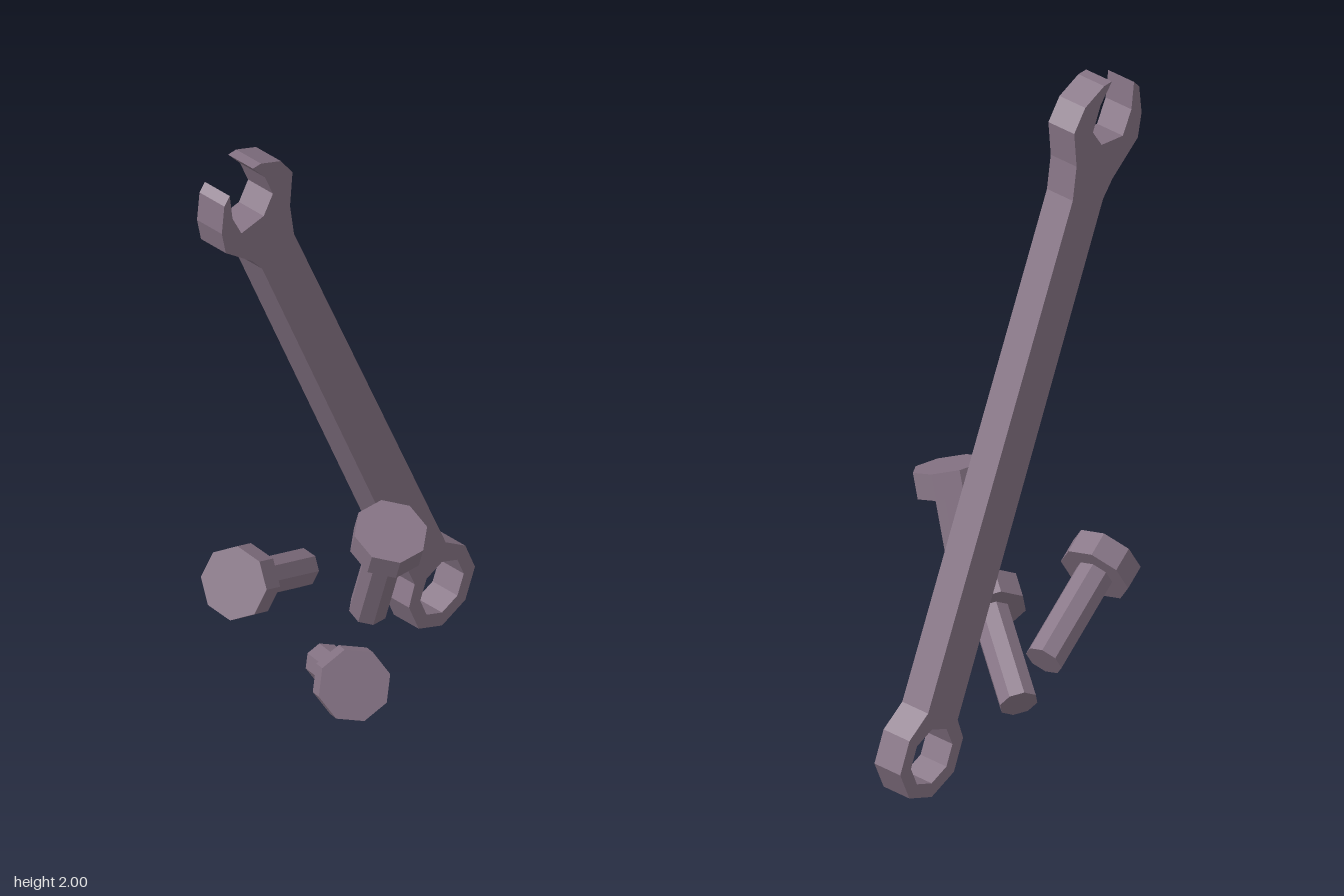
import * as THREE from 'three';

const steel = new THREE.MeshStandardMaterial({ color: 0x867485, flatShading: true });
steel.name = 'dull mauve steel';

// Spanner: flat outline drawn in (z, y), extruded across x
function createSpanner() {
  const ring = { z: -0.375, y: 0.138, outer: 0.133, inner: 0.088 };
  const ringPoint = (r, i) => new THREE.Vector2(
    ring.z + r * Math.cos(i * Math.PI / 4), ring.y + r * Math.sin(i * Math.PI / 4));

  const jaw = [
    [-0.39, 0.286], [0.222, 1.685], [0.238, 1.79], [0.228, 1.902], [0.275, 1.966],
    [0.355, 2.0], [0.388, 2.0], [0.34, 1.945], [0.307, 1.87], [0.344, 1.812],
    [0.434, 1.80], [0.47, 1.87], [0.481, 1.955], [0.503, 1.93], [0.513, 1.84],
    [0.497, 1.765], [0.39, 1.68], [0.35, 1.632], [-0.265, 0.207],
  ].map(([z, y]) => new THREE.Vector2(z, y));

  // Lower half of the ring end, from its front side round to its back
  const outline = [...jaw];
  for (let i = 0; i >= -5; i--) outline.push(ringPoint(ring.outer, i));

  const shape = new THREE.Shape(outline);
  const hole = [];
  for (let i = 0; i < 8; i++) hole.push(ringPoint(ring.inner, i));
  shape.holes.push(new THREE.Path(hole));

  const geometry = new THREE.ExtrudeGeometry(shape, { depth: 0.096, bevelEnabled: false });
  const spanner = new THREE.Mesh(geometry, steel);
  spanner.name = 'spanner';
  spanner.rotation.y = -Math.PI / 2;
  spanner.position.x = -0.064;
  return spanner;
}

// Bolt: eight-sided shank and head, running from the tail to the head's face
function createBolt(name, tail, face, roll) {
  const headHeight = 0.077;
  const from = new THREE.Vector3(...tail);
  const axis = new THREE.Vector3(...face).sub(from);
  const length = axis.length();
  const shankLength = length - headHeight;

  const bolt = new THREE.Group();
  bolt.name = name;
  const shank = new THREE.Mesh(new THREE.CylinderGeometry(0.056, 0.056, shankLength, 8), steel);
  shank.name = 'boltShank';
  shank.position.y = shankLength / 2;
  const head = new THREE.Mesh(new THREE.CylinderGeometry(0.106, 0.106, headHeight, 8), steel);
  head.name = 'boltHead';
  head.position.y = length - headHeight / 2;
  for (const part of [shank, head]) {
    part.rotation.y = THREE.MathUtils.degToRad(roll);
    bolt.add(part);
  }
  bolt.quaternion.setFromUnitVectors(new THREE.Vector3(0, 1, 0), axis.normalize());
  bolt.position.copy(from);
  return bolt;
}

export function createModel() {
  const model = new THREE.Group();
  model.name = 'spannerAndBolts';
  model.add(
    createSpanner(),
    createBolt('upperBolt', [0.063, 0.36, 0.055], [0.2, 0.725, 0.107], 15),
    createBolt('rightBolt', [-0.247, 0.313, 0], [-0.18, 0.477, 0.344], 20),
    createBolt('lowerBolt', [-0.105, 0.087, 0.056], [0.187, 0.255, 0.24], 22),
  );
  return model;
}
